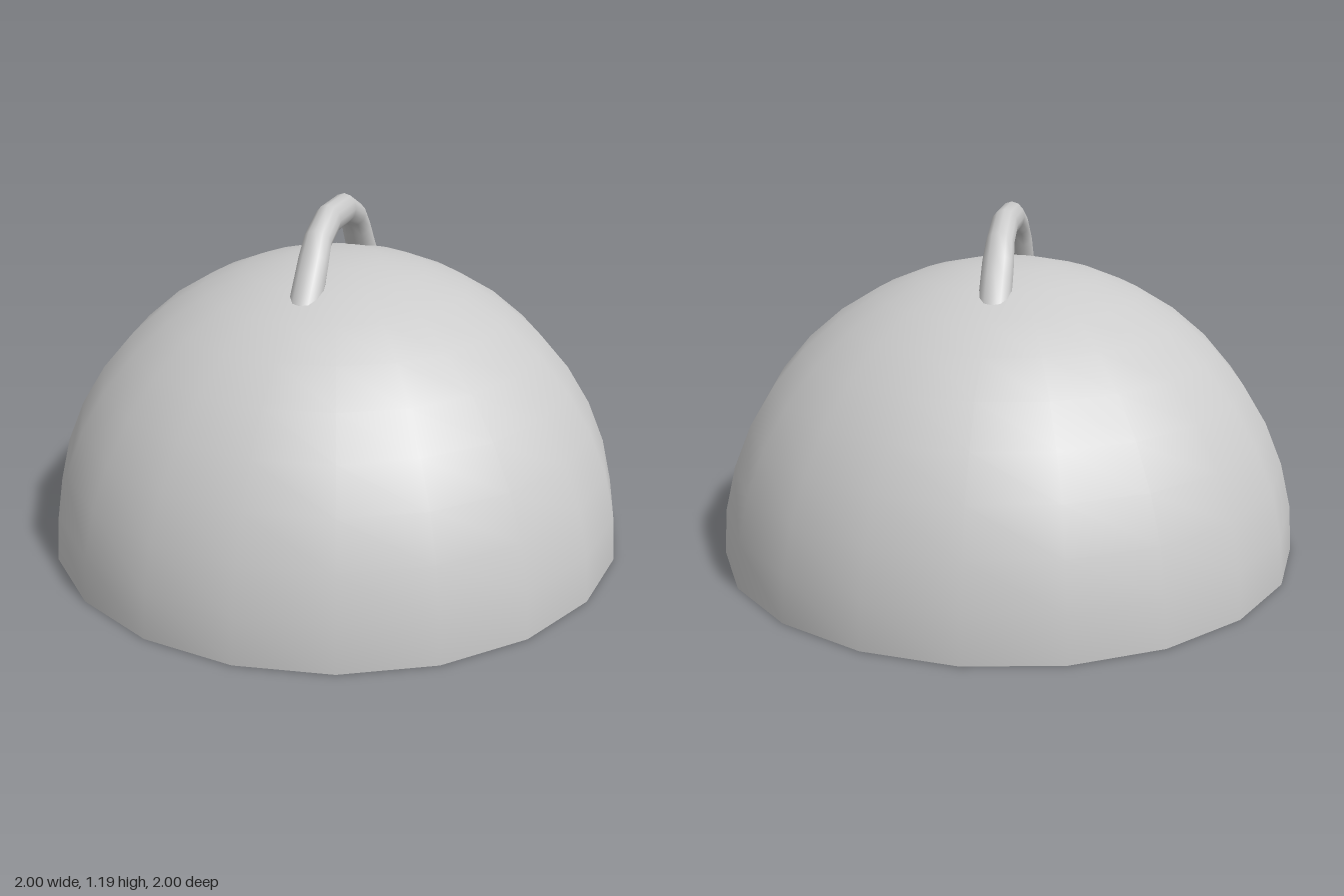
import * as THREE from 'three';

const SIDES = 20, RINGS = 10, OUTER = 1, INNER = 0.89;
const LIFT = 0.002; // the outer edge of the rim sits slightly above its inner edge

// Quarter-circle profile from the rim up to the pole
function arc(radius) {
  return Array.from({ length: RINGS + 1 }, (_, i) => {
    const a = (i / RINGS) * Math.PI / 2;
    return new THREE.Vector2(i === RINGS ? 0 : radius * Math.cos(a), LIFT + radius * Math.sin(a));
  });
}

// Revolved shell with true spherical normals; facing is 1 for outward, -1 for inward
function shell(profile, facing) {
  const geometry = new THREE.LatheGeometry(profile, SIDES);
  const { position, normal } = geometry.attributes;
  const n = new THREE.Vector3();
  for (let i = 0; i < position.count; i++) {
    n.fromBufferAttribute(position, i).normalize().multiplyScalar(facing);
    normal.setXYZ(i, n.x, n.y, n.z);
  }
  return geometry;
}

// Handle lofted through elliptical sections, mirrored front to back
function handleGeometry(sides = 12) {
  // [outer z, outer y, inner z, inner y, half width in x]
  const half = [
    [0.406, 0.885, 0.29, 0.875, 0.053],
    [0.306, 1.012, 0.229, 0.957, 0.053],
    [0.265, 1.065, 0.20, 1.01, 0.052],
    [0.212, 1.13, 0.168, 1.054, 0.047],
    [0.09, 1.187, 0.08, 1.085, 0.045],
  ];
  const back = half.map(([oz, oy, iz, iy, w]) => [-oz, oy, -iz, iy, w]).reverse();
  const sections = [...half, ...back];
  const positions = [], index = [];
  sections.forEach(([oz, oy, iz, iy, w], i) => {
    for (let j = 0; j < sides; j++) {
      const a = (j / sides) * Math.PI * 2, s = Math.sin(a) / 2;
      positions.push(w * Math.cos(a), (oy + iy) / 2 + (oy - iy) * s, (oz + iz) / 2 + (oz - iz) * s);
      if (i === sections.length - 1) continue;
      const k = (j + 1) % sides, p = i * sides, q = p + sides;
      index.push(p + j, q + j, q + k, p + j, q + k, p + k);
    }
  });
  const geometry = new THREE.BufferGeometry();
  geometry.setAttribute('position', new THREE.Float32BufferAttribute(positions, 3));
  geometry.setIndex(index);
  geometry.computeVertexNormals();
  return geometry;
}

export function createModel() {
  const group = new THREE.Group();
  group.name = 'domeCover';
  const material = new THREE.MeshStandardMaterial({ color: 0xcccccc });
  const add = (name, geometry) => {
    const mesh = new THREE.Mesh(geometry, material);
    mesh.name = name;
    group.add(mesh);
  };

  // Thick hollow dome: outside, inside and slightly sloping rim
  const outside = arc(OUTER), inside = arc(INNER);
  inside[0].y = 0;
  add('domeOutside', shell(outside, 1));
  add('domeInside', shell([...inside].reverse(), -1));
  add('rim', new THREE.LatheGeometry([inside[0], outside[0]], SIDES));

  // Arched carrying handle, running front to back
  add('handle', handleGeometry());
  return group;
}
